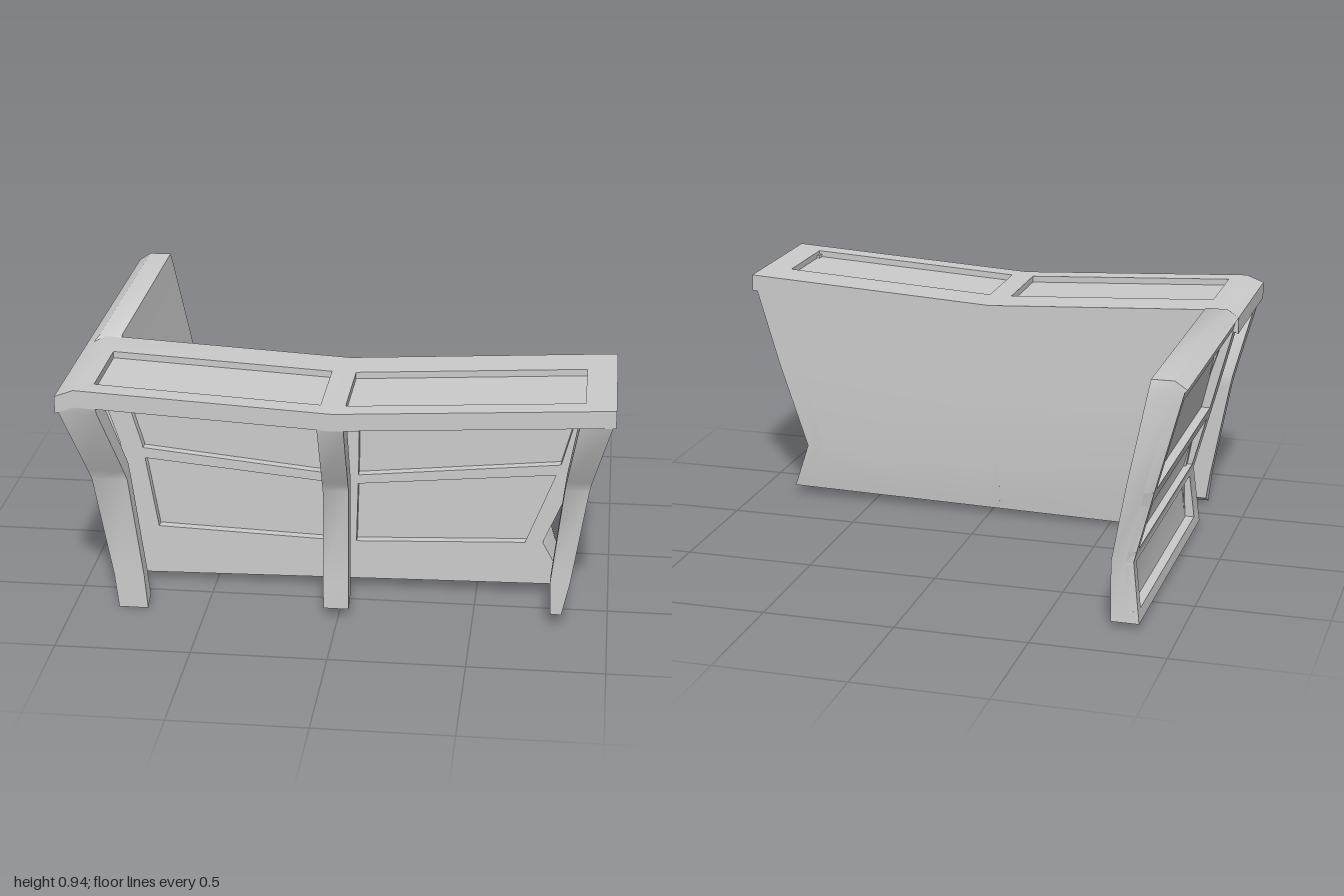
import * as THREE from 'three';
import { toCreasedNormals } from 'three/addons/utils/BufferGeometryUtils.js';

const mat = new THREE.MeshStandardMaterial({ color: 0xcccccc });
const mix = THREE.MathUtils.lerp;

// Piecewise linear profile through [y, value] pairs with rising y
function along(points, y) {
  if (y <= points[0][0]) return points[0][1];
  for (let i = 1; i < points.length; i++) {
    const [a, va] = points[i - 1], [b, vb] = points[i];
    if (y <= b) return mix(va, vb, (y - a) / (b - a));
  }
  return points[points.length - 1][1];
}

// Box cut at the knots inside its range, each vertex then moved by a rule
const cuts = ([a, b], knots) => [a, ...knots.filter((k) => k > a + 1e-4 && k < b - 1e-4), b];
function block(name, xr, yr, zr, rule, xKnots = [], yKnots = []) {
  const xs = cuts(xr, xKnots), ys = cuts(yr, yKnots);
  const geo = new THREE.BoxGeometry(1, 1, 1, xs.length - 1, ys.length - 1, 1);
  const p = geo.attributes.position;
  for (let i = 0; i < p.count; i++) {
    const x = xs[Math.round((p.getX(i) + 0.5) * (xs.length - 1))];
    const y = ys[Math.round((p.getY(i) + 0.5) * (ys.length - 1))];
    p.setXYZ(i, ...rule(x, y, p.getZ(i) < 0 ? zr[0] : zr[1]));
  }
  const mesh = new THREE.Mesh(toCreasedNormals(geo, 0.6), mat);
  mesh.name = name;
  return mesh;
}

function group(name, ...parts) {
  const g = new THREE.Group();
  g.name = name;
  g.add(...parts);
  return g;
}

// Counter: sagging frame with two sunken panels, its right end dropping a little
function counter() {
  const top = [[-1, 0.91], [-0.93, 0.936], [0, 0.885], [1, 0.94]];
  const sag = (x, y, z) => [x, y + along(top, x), z];
  const bar = (name, xr, yr, zr) => block(name, xr, yr, zr, sag, [-0.93, 0]);
  const g = group('counter',
    bar('frontBeam', [-1, 1], [-0.065, 0], [0.74, 0.82]),
    bar('rearBeam', [-1, 1], [-0.065, 0], [0.24, 0.4]));
  for (const xr of [[-1, -0.87], [-0.05, 0.04], [0.89, 1]]) {
    g.add(bar('crossBeam', xr, [-0.065, 0], [0.4, 0.74]));
  }
  for (const xr of [[-0.87, -0.05], [0.04, 0.89]]) {
    g.add(bar('counterPanel', xr, [-0.06, -0.025], [0.4, 0.74]));
  }
  return g;
}

// Long wall: the ends pinch in low down and the rails dip to the middle
function longWall() {
  const leftEnd = [[0.045, 0.84], [0.2, 0.775], [0.48, 0.89], [0.885, 1]];
  const rightEnd = [[0.045, 0.81], [0.2, 0.8], [0.48, 0.86], [0.885, 0.98]];
  const rise = [[0.045, 0], [0.2, 0.03], [0.48, 0.09], [0.885, 0.055]];
  const rule = (s, y, z) => {
    const low = y < 0.06;
    const pinch = s > 0 && y === 0.2 && z > 0.3 ? 0.965 : 1;
    return [
      s * pinch * along(s > 0 ? leftEnd : rightEnd, y),
      y + along(rise, y) * Math.abs(s) + (low ? 0.015 * s - (z < 0.3 ? 0.015 : 0) : 0),
      low && z < 0.25 ? 0.26 : z,
    ];
  };
  const knots = [0.2, 0.48];
  const part = (name, sr, yr, zr = [0.24, 0.4]) => block(name, sr, yr, zr, rule, [0], knots);
  const g = group('longWall', part('wallPanel', [-1, 1], [0.045, 0.82], [0.24, 0.365]));
  for (const yr of [[0.045, 0.2], [0.435, 0.47], [0.8, 0.825]]) {
    g.add(part('wallRail', [-1, 1], yr));
  }
  for (const sr of [[-1, -0.9], [-0.055, 0.055], [0.91, 1]]) {
    g.add(part('wallPost', sr, [0.045, 0.825]));
  }
  return g;
}

// Side wall: smooth towards the inner corner, framed panels on its outer face
function sideWall() {
  const outer = [[0.025, -0.85], [0.25, -0.82], [0.55, -0.9], [0.94, -1]];
  const inner = [[0.025, -0.745], [0.25, -0.74], [0.55, -0.8], [0.94, -0.87]];
  const tailIn = [[0.025, -0.775], [0.25, -0.765], [0.55, -0.82], [0.9, -0.775], [0.94, -0.765]];
  const tailOut = [[0.025, -0.775], [0.25, -0.75], [0.55, -0.785], [0.94, -0.765]];
  const head = [[0.86, 0.36], [0.94, 0.24]];
  const rule = (d, y, w) => [
    mix(along(outer, y), along(inner, y), d),
    y > 0.93 && d < 0.3 ? y - 0.03 : y,
    mix(mix(along(tailOut, y), along(tailIn, y), d), along(head, y), w),
  ];
  const knots = [0.25, 0.55, 0.86, 0.9];
  const part = (name, dr, yr, wr) => block(name, dr, yr, wr, rule, [0.35], knots);
  const g = group('sideWall', part('sidePanel', [0.35, 1], [0.025, 0.94], [0, 1]));
  for (const yr of [[0.025, 0.07], [0.24, 0.29], [0.48, 0.53], [0.86, 0.94]]) {
    g.add(part('sideRail', [0, 0.35], yr, [0, 1]));
  }
  for (const wr of [[0, 0.04], [0.92, 1]]) {
    g.add(part('sidePost', [0, 0.35], [0.025, 0.94], wr));
  }
  return g;
}

// Bent legs between two x profiles: t runs from foot to counter
function leg(name, xLow, xHigh, bottom, top) {
  const back = [[0, 0.6], [0.63, 0.595], [0.94, 0.71]];
  const front = [[0, 0.66], [0.58, 0.655], [0.95, 0.82]];
  const rule = (u, t, v) => [
    mix(along(xLow, t), along(xHigh, t), u),
    mix(bottom, top, t) + (t === 0 ? 0.03 * (1 - v) : 0),
    mix(along(back, t), along(front, t), v),
  ];
  return block(name, [0, 1], [0, 1], [0, 1], rule, [], [0.15, 0.58, 0.63, 0.94]);
}

export function createModel() {
  return group('cornerCounter',
    counter(),
    longWall(),
    sideWall(),
    leg('rightLeg', [[0, -0.83], [0.15, -0.845], [0.61, -0.92], [1, -1]],
      [[0, -0.72], [0.2, -0.735], [0.61, -0.785], [1, -0.86]], 0.005, 0.9),
    leg('middleLeg', [[0, -0.055]], [[0, 0.04]], 0.04, 0.86),
    leg('leftLeg', [[0, 0.79], [0.15, 0.785], [0.61, 0.83], [1, 0.88]],
      [[0, 0.83], [0.05, 0.845], [0.61, 0.92], [1, 1]], 0.06, 0.92));
}
